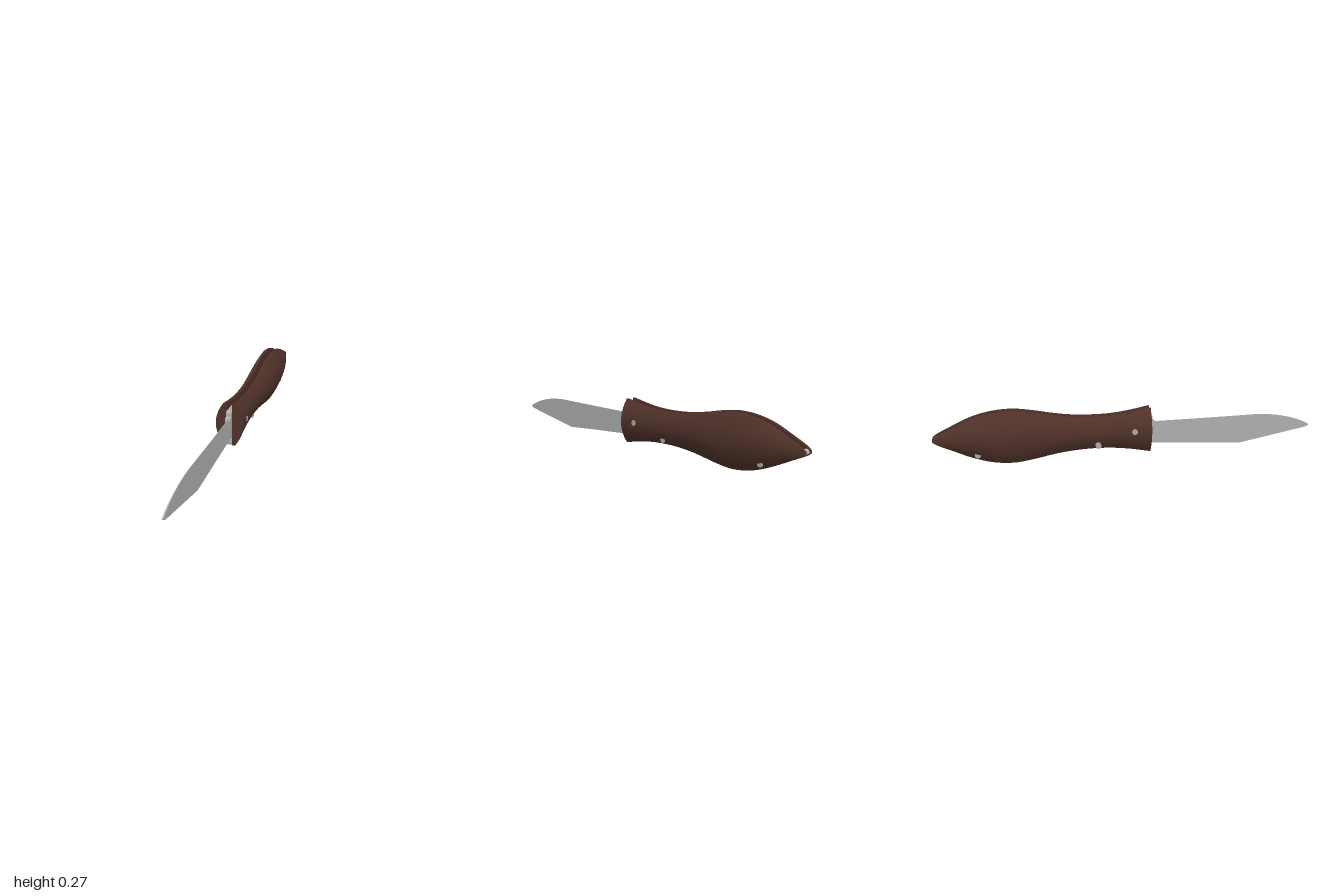
import * as THREE from 'three';
import { toCreasedNormals } from 'three/addons/utils/BufferGeometryUtils.js';

const GAP = 0.015; // half the slot between the two scales

// Handle stations from front to tail: z, bottom y, top y, half width
const STATIONS = [
  [0.11, 0.02, 0.255, 0.073], [0, 0.04, 0.234, 0.066], [-0.1, 0.051, 0.222, 0.061],
  [-0.2, 0.053, 0.22, 0.06], [-0.3, 0.047, 0.225, 0.064], [-0.4, 0.033, 0.239, 0.069],
  [-0.5, 0.013, 0.258, 0.074], [-0.6, 0.0, 0.27, 0.075], [-0.7, 0.008, 0.264, 0.074],
  [-0.8, 0.036, 0.24, 0.068], [-0.9, 0.079, 0.196, 0.05], [-0.98, 0.115, 0.156, 0.031],
  [-1, 0.128, 0.142, 0.026],
];
const outline = new THREE.CatmullRomCurve3(STATIONS.map(([z, b, t]) => new THREE.Vector3(z, b, t)));
const widths = new THREE.CatmullRomCurve3(STATIONS.map(([z, , , w]) => new THREE.Vector3(z, w, 0)));

// One scale: flat inside, bowed outside, lofted along the handle
function scaleGeometry(side) {
  const rings = 72, arc = 16, n = arc + 3;
  const pos = [], index = [];
  const tri = (a, b, c) => (side > 0 ? index.push(a, b, c) : index.push(a, c, b));
  for (let i = 0; i <= rings; i++) {
    const { x: z, y: bottom, z: top } = outline.getPoint(i / rings);
    const w = widths.getPoint(i / rings).y;
    const rim = Math.min(0.03, w);
    pos.push(side * GAP, bottom, z);
    for (let j = 0; j <= arc; j++) {
      const t = (j / arc) * 2 - 1;
      pos.push(side * (rim + (w - rim) * (1 - t * t)), bottom + (top - bottom) * j / arc, z);
    }
    pos.push(side * GAP, top, z);
  }
  for (let i = 0; i < rings; i++) {
    for (let j = 0; j < n; j++) {
      const k = (j + 1) % n;
      const a = i * n + j, b = i * n + k, c = a + n, d = b + n;
      tri(a, c, b);
      tri(b, c, d);
    }
  }
  const last = rings * n;
  for (let j = 1; j < n - 1; j++) {
    tri(0, j, j + 1);
    tri(last, last + j + 1, last + j);
  }
  const geo = new THREE.BufferGeometry();
  geo.setAttribute('position', new THREE.Float32BufferAttribute(pos, 3));
  geo.setIndex(index);
  return toCreasedNormals(geo, 0.6);
}

// Side-view shape (z, y) extruded across x and centred
function plate(shape, thickness) {
  const geo = new THREE.ExtrudeGeometry(shape, { depth: thickness, bevelEnabled: false, curveSegments: 12 });
  return geo.translate(0, 0, -thickness / 2).rotateY(-Math.PI / 2);
}

function bladeGeometry() {
  const s = new THREE.Shape();
  s.moveTo(0.1, 0.06);
  s.lineTo(0.35, 0.048);
  s.lineTo(0.61, 0.033);
  s.lineTo(0.97, 0.1);
  s.quadraticCurveTo(1.005, 0.107, 0.998, 0.117);
  s.bezierCurveTo(0.93, 0.155, 0.82, 0.185, 0.69, 0.185);
  s.quadraticCurveTo(0.4, 0.178, 0.1, 0.174);
  s.closePath();
  const geo = plate(s, 1);
  // Taper from the thick lower spine to the sharp upper edge
  const p = geo.attributes.position;
  for (let i = 0; i < p.count; i++) {
    p.setX(i, p.getX(i) * 2 * (0.0006 + 0.008 * (0.188 - p.getY(i)) / 0.155));
  }
  geo.computeVertexNormals();
  return toCreasedNormals(geo, 0.5);
}

// Rounded tang around the pivot, with a raised lip at the front
function tangGeometry() {
  const s = new THREE.Shape();
  s.moveTo(0.115, 0.062);
  s.lineTo(0.128, 0.11);
  s.lineTo(0.14, 0.165);
  s.lineTo(0.136, 0.18);
  s.lineTo(0.124, 0.188);
  s.lineTo(0.122, 0.206);
  s.lineTo(0.108, 0.215);
  s.lineTo(0.02, 0.208);
  s.absarc(0.02, 0.14, 0.068, Math.PI / 2, Math.PI * 1.5, false);
  s.closePath();
  return toCreasedNormals(plate(s, 0.027), 0.5);
}

// Spring strip following the lower edge of the handle
function springGeometry() {
  const low = [], high = [];
  for (let i = 0; i <= 60; i++) {
    const { x: z, y: bottom, z: top } = outline.getPoint(i / 60 * 0.985);
    low.push(new THREE.Vector2(z, bottom + 0.003));
    high.push(new THREE.Vector2(z, Math.min(bottom + 0.033, top - 0.006)));
  }
  return toCreasedNormals(plate(new THREE.Shape([...low, ...high.reverse()]), GAP * 2), 0.5);
}

export function createModel() {
  const model = new THREE.Group();
  const wood = new THREE.MeshStandardMaterial({ name: 'darkWood', color: 0x50322a });
  const steel = new THREE.MeshStandardMaterial({ name: 'steel', color: 0xaaacab });
  const add = (name, geo, mat) => {
    const mesh = new THREE.Mesh(geo, mat);
    mesh.name = name;
    model.add(mesh);
  };

  add('leftScale', scaleGeometry(1), wood);
  add('rightScale', scaleGeometry(-1), wood);
  add('blade', bladeGeometry(), steel);
  add('tang', tangGeometry(), steel);
  add('backSpring', springGeometry(), steel);

  // Cross pins: z, y, right end x, left end x; the middle one ends in a button
  const pins = [
    ['pivotPin', 0.02, 0.14, -0.069, 0.069],
    ['buttonPin', -0.17, 0.075, -0.068, 0.047],
    ['rearPin', -0.78, 0.055, -0.049, 0.049],
  ];
  for (const [name, z, y, x0, x1] of pins) {
    const geo = new THREE.CylinderGeometry(0.015, 0.015, x1 - x0, 24);
    add(name, geo.rotateZ(Math.PI / 2).translate((x0 + x1) / 2, y, z), steel);
  }
  return model;
}
